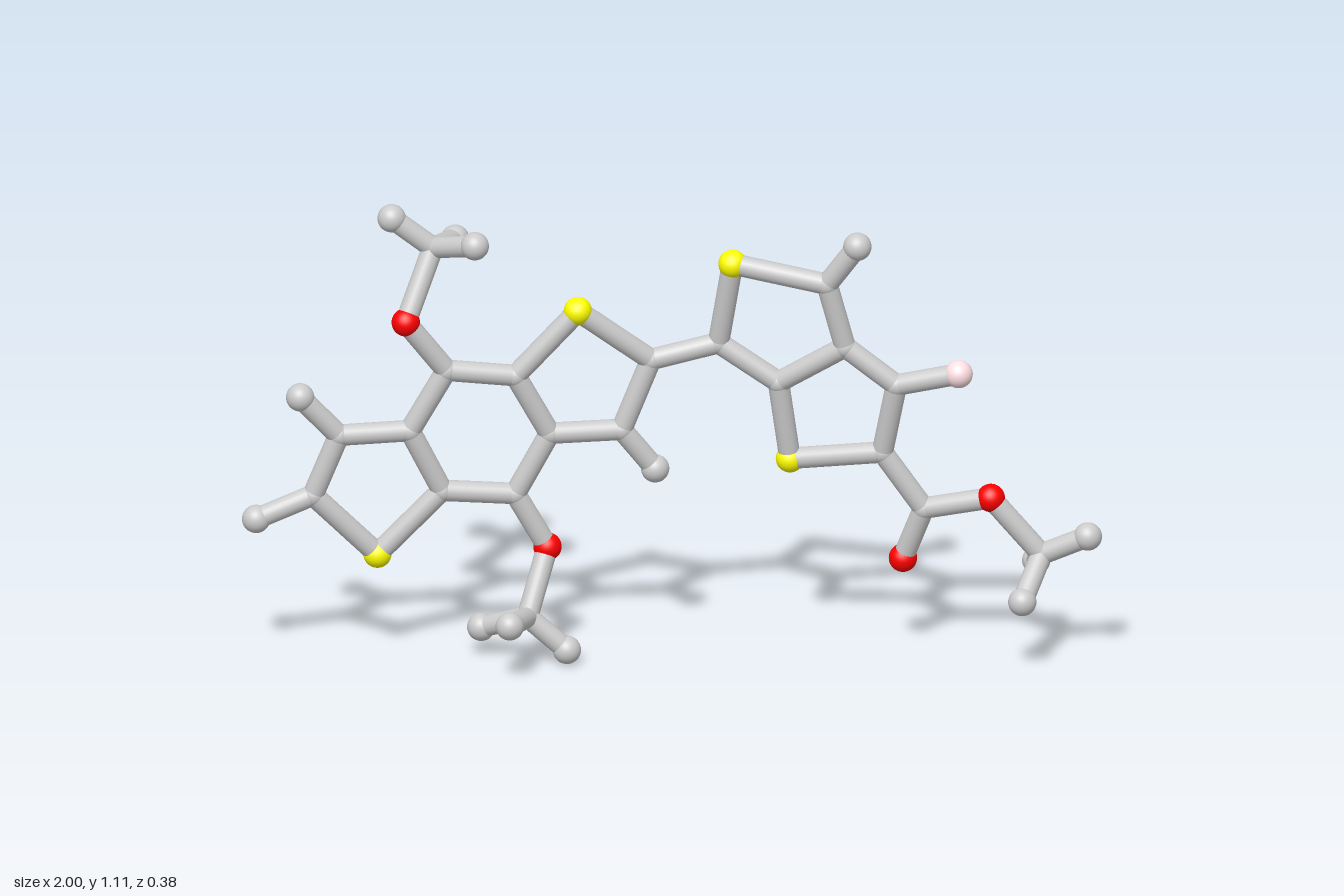
import * as THREE from 'three';

const BALL = 0.033, JOINT = 0.027, ROD = 0.025;

// The molecule's two fused-ring halves are flat sheets, each slightly tilted
const leftSheet = (x, y) => -0.115 - 0.1 * x + 0.094 * y;
const rightSheet = (x, y) => -0.06 + 0.21 * (x - 0.107) + 0.161 * (y - 0.762);

// name: [element, x, y, z (omitted when the atom lies in its sheet)]
const leftAtoms = {
  s1: ['S', -0.685, 0.26], a: ['C', -0.835, 0.415], b: ['C', -0.775, 0.565],
  c: ['C', -0.61, 0.57], d: ['C', -0.535, 0.415], e: ['C', -0.525, 0.72],
  f: ['C', -0.365, 0.70], g: ['C', -0.285, 0.55], h: ['C', -0.365, 0.40],
  s2: ['S', -0.22, 0.858], i: ['C', -0.05, 0.725, -0.05], j: ['C', -0.118, 0.553],
  ha: ['H', -0.967, 0.36], hb: ['H', -0.865, 0.665], hj: ['H', -0.04, 0.452, -0.065],
  // upper methoxy arm
  o1: ['O', -0.62, 0.848, 0.033], m1: ['C', -0.556, 1.008, -0.035],
  m1a: ['H', -0.652, 1.083, -0.028], m1b: ['H', -0.46, 1.04, 0.048], m1c: ['H', -0.503, 0.987, -0.156],
  // lower methoxy arm
  o2: ['O', -0.29, 0.265, -0.053], m2: ['C', -0.337, 0.118, 0.02],
  m2a: ['H', -0.444, 0.072, -0.042], m2b: ['H', -0.246, 0.038, 0.025], m2c: ['H', -0.38, 0.142, 0.155],
};
const rightAtoms = {
  k: ['C', 0.107, 0.762], s3: ['S', 0.139, 0.97], l: ['C', 0.358, 0.933],
  m: ['C', 0.40, 0.773], n: ['C', 0.246, 0.67], s4: ['S', 0.273, 0.473],
  o: ['C', 0.487, 0.505], p: ['C', 0.519, 0.682],
  hl: ['H', 0.428, 1.035, 0.048], fl: ['F', 0.663, 0.72, 0.046],
  // ester arm
  q: ['C', 0.583, 0.366], o3: ['O', 0.535, 0.233], o4: ['O', 0.738, 0.404, 0.015],
  m3: ['C', 0.856, 0.265, 0.015],
  m3a: ['H', 0.963, 0.318, 0.043], m3b: ['H', 0.81, 0.18, 0.107], m3c: ['H', 0.845, 0.21, -0.1],
};

// Each chain is a run of bonded atoms
const chains = [
  's1 a b c d s1', 'c e f g h d', 'f s2 i j g', 'a ha', 'b hb', 'j hj',
  'e o1 m1 m1a', 'm1b m1 m1c', 'h o2 m2 m2a', 'm2b m2 m2c',
  'i k s3 l m n k', 'n s4 o p m', 'l hl', 'p fl', 'o q o4 m3 m3a', 'q o3', 'm3b m3 m3c',
];

const elements = {
  C: ['carbonJoint', JOINT, 0xcccccc], H: ['hydrogenBall', BALL, 0xcccccc],
  S: ['sulfurBall', BALL, 0xffff00], O: ['oxygenBall', BALL, 0xff0000],
  F: ['fluorineBall', BALL, 0xffe0e4],
};

export function createModel() {
  const model = new THREE.Group();
  model.name = 'molecule';
  const materials = {};
  for (const key in elements) {
    materials[key] = new THREE.MeshStandardMaterial({ color: elements[key][2] });
  }
  const sphere = new THREE.SphereGeometry(1, 28, 20);
  const rod = new THREE.CylinderGeometry(ROD, ROD, 1, 24, 1, true);
  const points = {};

  // Atoms
  const addAtoms = (table, sheet) => {
    for (const [id, [kind, x, y, z = sheet(x, y)]] of Object.entries(table)) {
      const [name, radius] = elements[kind];
      const atom = new THREE.Mesh(sphere, materials[kind]);
      atom.name = name;
      atom.position.set(x, y, z);
      atom.scale.setScalar(radius);
      points[id] = atom.position;
      model.add(atom);
    }
  };
  addAtoms(leftAtoms, leftSheet);
  addAtoms(rightAtoms, rightSheet);

  // Bonds
  const up = new THREE.Vector3(0, 1, 0);
  for (const chain of chains) {
    const ids = chain.split(' ');
    for (let n = 1; n < ids.length; n++) {
      const from = points[ids[n - 1]], to = points[ids[n]];
      const along = to.clone().sub(from);
      const bond = new THREE.Mesh(rod, materials.C);
      bond.name = 'bond';
      bond.position.copy(from).add(to).multiplyScalar(0.5);
      bond.scale.y = along.length();
      bond.quaternion.setFromUnitVectors(up, along.normalize());
      model.add(bond);
    }
  }
  return model;
}
